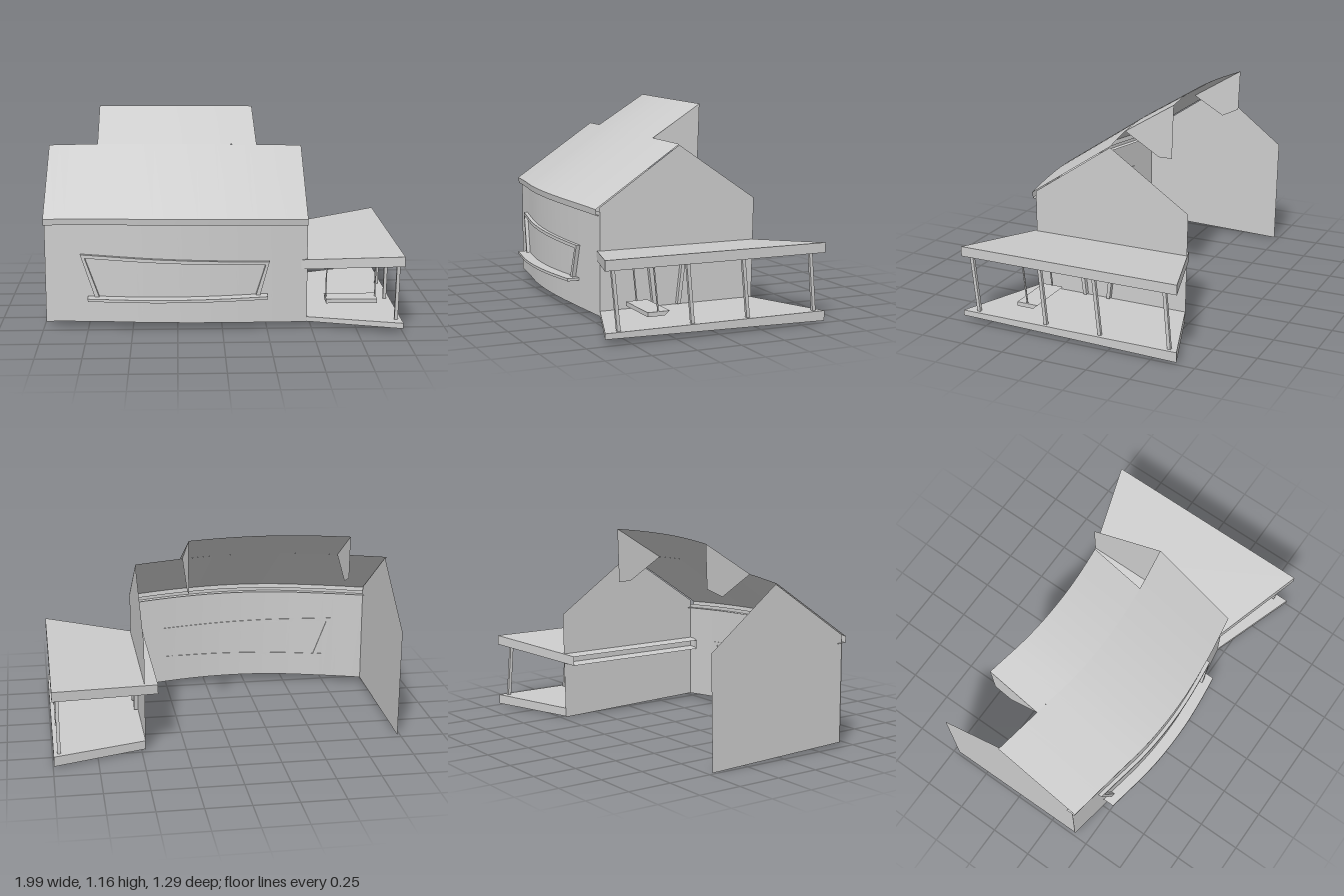
import * as THREE from 'three';

const V = (x, y, z) => new THREE.Vector3(x, y, z);
const lerp = THREE.MathUtils.lerp;

// Bowed front of the house: eave depth by x, and everything that follows it
const bow = new THREE.CatmullRomCurve3(
  [[-1, 0.435], [-0.71, 0.487], [-0.4, 0.54], [-0.1, 0.553], [0.2, 0.53], [0.48, 0.488]].map(([x, z]) => V(x, 0, z)));
const bowPts = bow.getPoints(60);
function eaveZ(x) {
  let i = 1;
  while (i < 60 && bowPts[i].x < x) i++;
  const a = bowPts[i - 1], b = bowPts[i];
  return lerp(a.z, b.z, (x - a.x) / (b.x - a.x));
}
const wallZ = (x) => eaveZ(x) - 0.025;
const rise = (x) => 0.02 * (1 - ((x + 0.26) / 0.74) ** 2); // lift towards the middle

function material(flat) {
  return new THREE.MeshStandardMaterial({ color: 0xcccccc, flatShading: flat, side: THREE.DoubleSide });
}

// Surface through equally long rows of points
function sheet(name, rows, flat = false, caps = []) {
  const n = rows[0].length, pos = [], idx = [];
  rows.flat().forEach((p) => pos.push(p.x, p.y, p.z));
  for (let r = 0; r < rows.length - 1; r++) {
    for (let c = 0; c < n - 1; c++) {
      const a = r * n + c, b = a + n;
      idx.push(a, b, a + 1, a + 1, b, b + 1);
    }
  }
  for (const r of caps) {
    const a = r * n;
    if (r === 0) idx.push(a, a + 1, a + 2, a, a + 2, a + 3);
    else idx.push(a, a + 2, a + 1, a, a + 3, a + 2);
  }
  const g = new THREE.BufferGeometry();
  g.setAttribute('position', new THREE.Float32BufferAttribute(pos, 3));
  g.setIndex(idx);
  g.computeVertexNormals();
  const m = new THREE.Mesh(g, material(flat));
  m.name = name;
  return m;
}

// Solid bar through four-cornered sections
function block(name, sections, capped = true) {
  return sheet(name, sections.map((s) => [...s, s[0]]), true, capped ? [0, sections.length - 1] : []);
}

// Surface spanning x0..x1 between profile points given as functions of x
function span(name, x0, x1, profile, steps = 24) {
  const rows = profile.map((f) => Array.from({ length: steps + 1 }, (_, i) => f(lerp(x0, x1, i / steps))));
  return sheet(name, rows);
}

// Flat upright panel at x from a (z, y) outline
function gable(name, x, outline) {
  const shape = new THREE.Shape(outline.map(([z, y]) => new THREE.Vector2(-z, y)));
  const m = new THREE.Mesh(new THREE.ShapeGeometry(shape), material(true));
  m.rotation.y = Math.PI / 2;
  m.position.x = x;
  m.name = name;
  return m;
}

// Square post between two points
function post(name, a, b, w) {
  const h = w / 2;
  const ring = (p) => [[-h, -h], [h, -h], [h, h], [-h, h]].map(([x, z]) => V(p.x + x, p.y, p.z + z));
  return block(name, [ring(a), ring(b)]);
}

// Trim on the bowed wall: from edge a0-a1 to edge b0-b1 in (x, y), standing proud by depth
function wallTrim(name, a0, a1, b0, b1, depth, steps) {
  const sections = [];
  for (let i = 0; i <= steps; i++) {
    const t = i / steps;
    const p = [lerp(a0[0], b0[0], t), lerp(a0[1], b0[1], t)];
    const q = [lerp(a1[0], b1[0], t), lerp(a1[1], b1[1], t)];
    sections.push([V(...p, wallZ(p[0]) - 0.005), V(...q, wallZ(q[0]) - 0.005),
      V(...q, wallZ(q[0]) + depth), V(...p, wallZ(p[0]) + depth)]);
  }
  return block(name, sections);
}

export function createModel() {
  const house = new THREE.Group();
  house.name = 'house';
  const X0 = -0.995, X1 = 0.477;

  // Walls: the back is open
  house.add(span('frontWall', X0 + 0.005, X1, [
    (x) => V(x, 0.025 + rise(x), wallZ(x)),
    (x) => V(x, 0.605 + rise(x), wallZ(x))]));
  for (const [name, x] of [['leftWall', X1], ['rightWall', X0 + 0.01]]) {
    const f = wallZ(x);
    house.add(gable(name, x, [[f, 0.025], [-0.47, 0], [-0.482, 0.63],
      [eaveZ(x) - 0.5, 0.95], [f, 0.63]]));
  }

  // Front roof slope with fascia and soffit
  const slope = (d, top) => (x) => V(x, top + rise(x), eaveZ(x) - d);
  house.add(span('roof', X0, X1, [slope(0, 0.62), slope(0.5, 0.955)]));
  house.add(span('fascia', X0, X1, [slope(0, 0.62), slope(0.005, 0.585)]));
  house.add(span('soffit', X0, X1, [slope(0.005, 0.585), slope(0.06, 0.585)]));

  // Raised part of the roof, flaring slightly where it meets the ridge
  const flare = (x, y, z) => V(x > 0 ? x * (y < 1.05 ? 1.07 : 1) : x, y, z);
  house.add(span('upperRoof', -0.71, 0.2, [
    (x) => flare(x, 0.955 + rise(x), eaveZ(x) - 0.5),
    (x) => flare(x, 1.14 + rise(x), eaveZ(x) - 0.8)], 16));
  for (const [name, x, low] of [['upperRoofLeftCheek', 0.2, 0.84], ['upperRoofRightCheek', -0.71, 0.91]]) {
    const e = eaveZ(x), r = rise(x);
    house.add(gable(name, x, [[e - 0.5, 0.955 + r], [e - 0.8, 1.14 + r], [e - 0.79, low],
      [x > 0 ? -0.18 : -0.2, low === 0.84 ? 0.84 : 0.86]]));
  }

  // Crooked front window
  const win = new THREE.Group();
  win.name = 'window';
  win.add(
    wallTrim('windowHead', [-0.79, 0.425], [-0.765, 0.405], [0.262, 0.39], [0.24, 0.372], 0.022, 14),
    wallTrim('windowRightJamb', [-0.79, 0.425], [-0.765, 0.405], [-0.71, 0.185], [-0.685, 0.185], 0.022, 2),
    wallTrim('windowLeftJamb', [0.262, 0.39], [0.24, 0.372], [0.208, 0.195], [0.184, 0.195], 0.022, 2),
    wallTrim('windowSill', [-0.75, 0.185], [-0.745, 0.17], [0.25, 0.203], [0.25, 0.187], 0.068, 14));
  house.add(win);

  // Crooked side door frame
  const door = new THREE.Group();
  door.name = 'doorFrame';
  const outer = [[0.155, 0.06], [0.187, 0.325], [-0.042, 0.305], [-0.012, 0.06]];
  const inner = [[0.135, 0.06], [0.16, 0.303], [-0.018, 0.287], [0.008, 0.06]];
  const jamb = (i) => [V(X1, outer[i][1], outer[i][0]), V(X1 + 0.025, outer[i][1], outer[i][0]),
    V(X1 + 0.025, inner[i][1], inner[i][0]), V(X1, inner[i][1], inner[i][0])];
  for (let i = 0; i < 3; i++) door.add(block('doorTrim', [jamb(i), jamb(i + 1)]));
  house.add(door);

  // Porch: splayed floor and roof slabs
  const porch = new THREE.Group();
  porch.name = 'porch';
  const roofEnd = (x, z, lo, hi) => [V(x, lo, z), V(x, hi, z), V(x, hi, -z), V(x, lo, -z)];
  const porchRoof = block('porchRoof', [roofEnd(0.4, 0.455, 0.328, 0.382), roofEnd(0.995, 0.645, 0.387, 0.443)], false);
  porch.add(porchRoof);
  porch.add(sheet('porchRoofEdge', [[V(0.995, 0.387, 0.645), V(0.995, 0.387, -0.645)],
    [V(0.995, 0.443, 0.645), V(0.995, 0.443, -0.645)]], true));
  porch.add(block('porchFloor', [
    [V(X1, 0.028, 0.465), V(X1, 0.055, 0.465), V(X1, 0.055, -0.47), V(X1, 0.005, -0.47)],
    [V(0.995, 0.035, 0.645), V(0.995, 0.066, 0.645), V(0.995, 0.066, -0.645), V(0.995, 0.01, -0.645)]]));

  // Leaning posts
  for (const [top, foot] of [[0.593, 0.56], [0.17, 0.14], [-0.155, -0.187], [-0.565, -0.592]]) {
    porch.add(post('porchPost', V(0.965, 0.063, foot), V(0.967, 0.388, top), 0.019));
  }

  // Hanging swing
  for (const x of [0.602, 0.884]) {
    porch.add(post('swingRope', V(x, 0.12, 0.3), V(x, 0.36, 0.325), 0.007));
  }
  const seatEnd = (x) => [V(x, 0.102, 0.362), V(x, 0.126, 0.362), V(x, 0.126, 0.235), V(x, 0.102, 0.263)];
  porch.add(block('swingSeat', [seatEnd(0.597), seatEnd(0.889)]));
  house.add(porch);

  return house;
}
